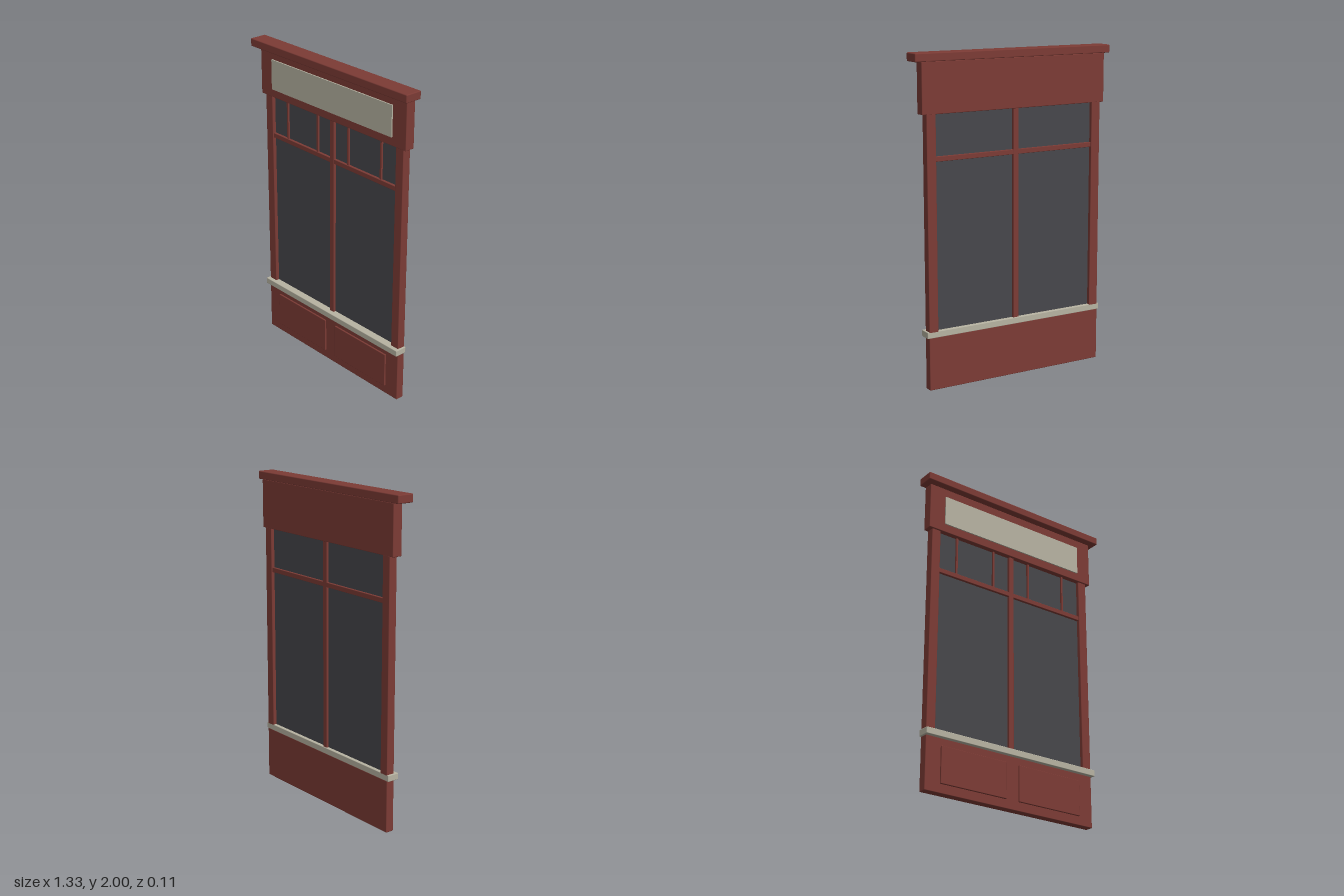
import * as THREE from 'three';
import { RoundedBoxGeometry } from 'three/addons/geometries/RoundedBoxGeometry.js';

export function createModel() {
  const model = new THREE.Group();
  model.name = 'shopWindow';

  const material = (name, color) => {
    const m = new THREE.MeshStandardMaterial({ color });
    m.name = name;
    return m;
  };
  const red = material('redPaint', 0x7c3b35);
  const stone = material('paleStone', 0xb7b3a2);
  const glass = material('darkGlass', 0x47474b);

  // Box given by its limits on each axis, with softened edges when bevel > 0
  function block(name, mat, [x0, x1], [y0, y1], [z0, z1], bevel = 0.004) {
    const size = [x1 - x0, y1 - y0, z1 - z0];
    const geometry = bevel > 0
      ? new RoundedBoxGeometry(...size, 1, bevel)
      : new THREE.BoxGeometry(...size);
    const mesh = new THREE.Mesh(geometry, mat);
    mesh.name = name;
    mesh.position.set((x0 + x1) / 2, (y0 + y1) / 2, (z0 + z1) / 2);
    model.add(mesh);
  }

  const back = -0.053;

  // Base, sill, fascia and cornice
  block('base', red, [-0.6, 0.6], [0, 0.325], [back, 0]);
  block('sill', stone, [-0.612, 0.612], [0.322, 0.362], [back, 0.025]);
  block('fascia', red, [-0.627, 0.627], [1.65, 1.952], [back, 0.01]);
  block('cornice', red, [-0.667, 0.667], [1.95, 2], [-0.055, 0.055], 0.006);
  block('signBoard', stone, [-0.52, 0.52], [1.703, 1.893], [0.005, 0.018], 0);

  // Glazing and its main bars
  block('glass', glass, [-0.545, 0.545], [0.355, 1.655], [-0.031, -0.023], 0);
  block('mullion', red, [-0.018, 0.018], [0.355, 1.655], [-0.046, -0.006], 0.003);

  // Parts mirrored on both sides
  for (const side of [-1, 1]) {
    const span = (a, b) => (side > 0 ? [a, b] : [-b, -a]);
    block('post', red, span(0.54, 0.6), [0.355, 1.655], [back, 0]);
    block('transom', red, span(0.012, 0.545), [1.374, 1.404], [-0.045, -0.007], 0.003);
    block('basePanel', red, span(0.045, 0.5), [0.055, 0.277], [-0.006, 0.01], 0.003);
    for (const x of [0.135, 0.41]) {
      block('glazingBar', red, span(x - 0.006, x + 0.006), [1.4, 1.655], [-0.025, -0.011], 0);
    }
  }

  return model;
}
